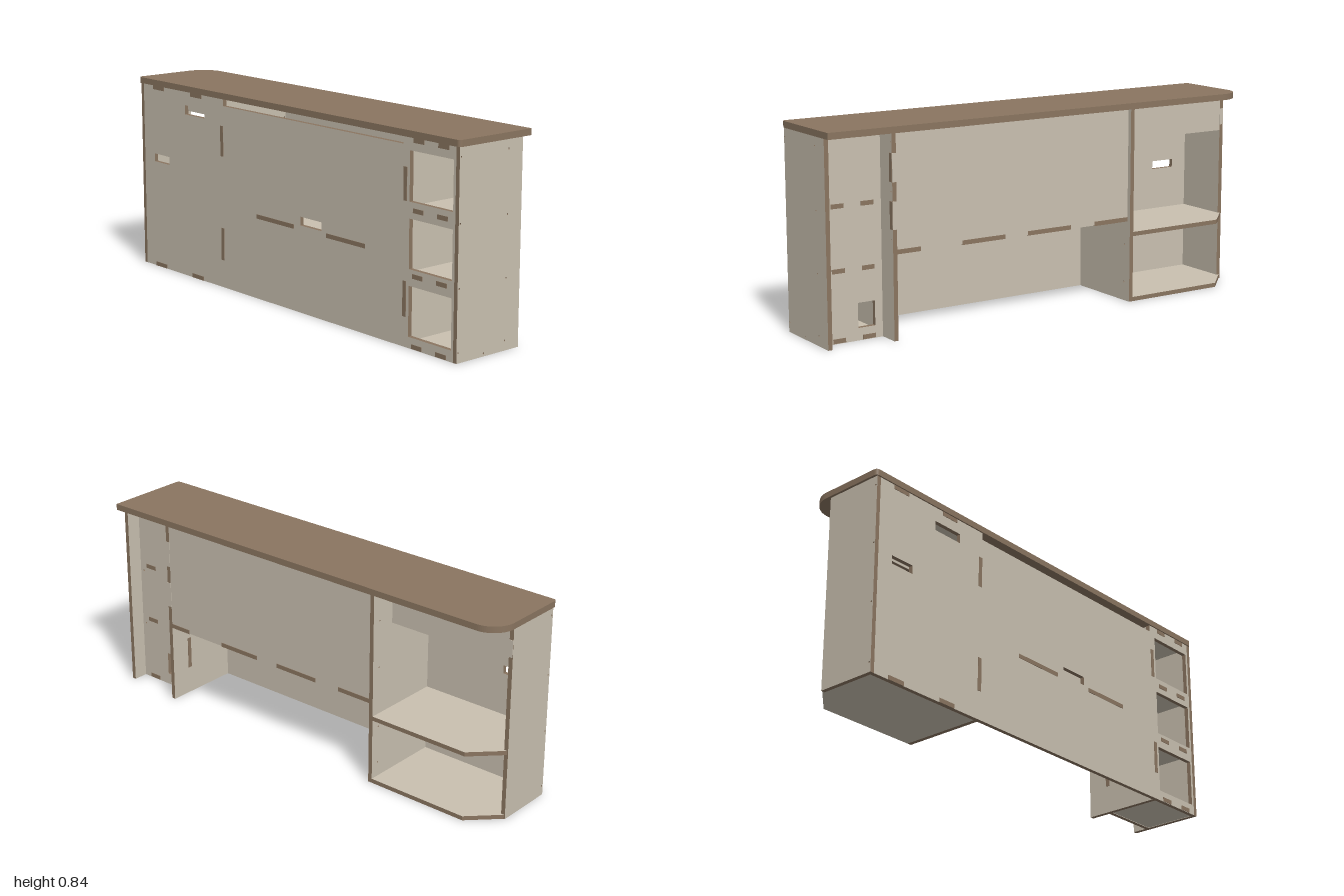
import * as THREE from 'three';

const T = 0.018; // sheet thickness

export function createModel() {
  const root = new THREE.Group();
  const face = new THREE.MeshStandardMaterial({ color: 0xc9c0b0 });
  face.name = 'pale sheet';
  const edge = new THREE.MeshStandardMaterial({ color: 0x8a7560 });
  edge.name = 'brown edge';

  const rect = (a, b, c, d) => [[a, c], [b, c], [b, d], [a, d]]; // u0,u1,v0,v1
  const toPath = (pts, C) => new C(pts.map(p => new THREE.Vector2(...p)));

  // Sheet cut from a shape: axis x uses (z,y), axis z uses (x,y), axis y uses (x,z)
  function sheet(name, axis, pos, outline, holes = [], dots = [], t = T, mats = [face, edge]) {
    const shape = outline instanceof THREE.Shape ? outline : toPath(outline, THREE.Shape);
    for (const h of holes) shape.holes.push(toPath(rect(...h), THREE.Path));
    for (const [u, v] of dots) {
      const p = new THREE.Path();
      p.absarc(u, v, 0.0035, 0, Math.PI * 2, true);
      shape.holes.push(p);
    }
    const g = new THREE.ExtrudeGeometry(shape, { depth: t, bevelEnabled: false, curveSegments: 10 });
    if (axis === 'x') g.rotateY(-Math.PI / 2).translate(pos + t, 0, 0);
    if (axis === 'y') g.rotateX(Math.PI / 2).translate(0, pos + t, 0);
    if (axis === 'z') g.translate(0, 0, pos);
    const m = new THREE.Mesh(g, mats);
    m.name = name;
    root.add(m);
  }

  // Box given by its limits, used for the ends of the joint tabs
  function tab(x0, x1, y0, y1, z0, z1, mat = edge, name = 'jointTab') {
    const m = new THREE.Mesh(new THREE.BoxGeometry(x1 - x0, y1 - y0, z1 - z0), mat);
    m.position.set((x0 + x1) / 2, (y0 + y1) / 2, (z0 + z1) / 2);
    m.name = name;
    root.add(m);
  }

  const H = 0.815, BACK = -0.182, IN = BACK + T;
  const E = 0.002; // how far tab ends stand proud

  // Worktop with one large rounded corner
  const top = new THREE.Shape();
  const r = 0.1, s = 0.015;
  top.moveTo(-0.188 + s, -1);
  top.lineTo(0.187 - r, -1);
  top.absarc(0.187 - r, -1 + r, r, -Math.PI / 2, 0, false);
  top.lineTo(0.187, 1);
  top.lineTo(-0.188 + s, 1);
  top.absarc(-0.188 + s, 1 - s, s, Math.PI / 2, Math.PI, false);
  top.lineTo(-0.188, -1 + s);
  top.absarc(-0.188 + s, -1 + s, s, Math.PI, Math.PI * 1.5, false);
  sheet('worktop', 'y', H, top, [], [], 0.026, [edge, edge]);

  // End panels with screw holes
  const screws = [];
  for (const y of [0.04, 0.285, 0.53, 0.778]) screws.push([-0.174, y]);
  const endDots = [...screws, ...screws.map(([, y]) => [0.073, y])];
  sheet('frontEndPanel', 'z', 0.995 - T, rect(BACK, 0.147, 0, H), [], [...endDots, [-0.04, 0.012]]);
  sheet('rearEndPanel', 'z', -0.99, rect(BACK, 0.073, 0, H), [], screws);

  // Long back panel: cubby openings, cable slots and a shallow step along the top
  sheet('backPanel', 'x', BACK,
    [[-0.972, 0], [0.977, 0], [0.977, H], [0.7, H], [0.7, 0.785], [-0.4, 0.785], [-0.4, H], [-0.972, H]],
    [
      [0.735, 0.965, 0.045, 0.245], [0.735, 0.965, 0.31, 0.505], [0.735, 0.965, 0.57, 0.765],
      [-0.9, -0.79, 0.475, 0.51], [-0.67, -0.53, 0.715, 0.755], [0.1, 0.23, 0.364, 0.4],
    ]);

  // Cubby tower: recessed front panel, shelves and divider
  sheet('towerPanel', 'x', 0.065, rect(0.722, 0.977, 0, H), [[0.755, 0.83, 0.05, 0.15]],
    [[0.958, 0.785], [0.958, 0.512], [0.958, 0.26]]);
  for (const y of [0.002, 0.277, 0.53, 0.796]) {
    sheet('towerShelf', 'y', y, rect(IN, 0.065, 0.722, 0.977));
    for (const [a, b] of [[0.755, 0.81], [0.885, 0.94]]) {
      tab(0.08, 0.083 + E, y, y + T, a, b);
      tab(BACK - E, BACK + 0.005, y, y + T, a, b);
    }
  }
  sheet('towerDivider', 'z', 0.703, rect(IN, 0.172, 0, H), [],
    [[0.162, 0.778], [0.162, 0.588], [0.162, 0.4]]);

  // Upper panel and the shelf behind it
  sheet('upperPanel', 'x', 0.172 - T, rect(-0.4, 0.703, 0.345, H));
  sheet('hiddenShelf', 'y', 0.343, rect(IN, 0.172 - T, -0.4, 0.703));
  for (const [a, b] of [[0.6, 0.703], [0.21, 0.41], [-0.11, 0.1], [-0.4, -0.23]]) {
    tab(0.165, 0.172 + E, 0.343, 0.361, a, b);
  }
  for (const [a, b] of [[-0.18, 0.06], [0.26, 0.49]]) {
    tab(BACK - E, BACK + 0.005, 0.343, 0.361, a, b);
  }
  for (const [a, b] of [[0.625, 0.737], [0.44, 0.55]]) {
    tab(0.153, 0.171, a, b, 0.716, 0.721 + E);
    tab(0.168, 0.172 + E, a, b, 0.702, 0.721, face, 'panelTabFace');
  }

  // Open cabinet: divider, clipped shelves and apron
  const zIn = -0.42, zOut = -0.972;
  sheet('cabinetDivider', 'z', zIn, rect(IN, 0.187, 0, H), [],
    [0.08, 0.24, 0.5, 0.7].map(y => [0.15, y]));
  const clipped = [[IN, zOut], [0.073, zOut], [0.073, -0.985], [0.187, -0.87], [0.187, zIn], [IN, zIn]];
  sheet('cabinetFloor', 'y', 0, clipped);
  sheet('cabinetShelf', 'y', 0.28, clipped);
  sheet('cabinetTopRail', 'y', H - T - 0.001, rect(IN, 0.055, zOut, zIn));
  sheet('cabinetApron', 'x', 0.055, rect(zOut, zIn, 0.665, H));
  for (const [a, b] of [[-0.63, -0.55], [-0.9, -0.82]]) {
    tab(0.07, 0.073 + E, H - T, H - 0.001, a, b);
    tab(BACK - E, BACK + 0.005, H - T, H - 0.001, a, b);
    tab(BACK - E, BACK + 0.005, 0, T, a, b);
  }
  tab(0.068, 0.073 + E, 0.69, 0.76, -0.989, -0.972, face, 'panelTabFace');

  // Divider tabs showing on the back and rear end
  for (const z of [zIn, 0.703]) {
    for (const [a, b] of [[0.57, 0.7], [0.12, 0.26]]) {
      tab(BACK - E, BACK + 0.005, a, b, z, z + T);
    }
  }
  // Tower panel tabs showing under the hidden shelf
  tab(0.065, 0.083, 0.12, 0.26, 0.703 - E, 0.708);

  return root;
}
